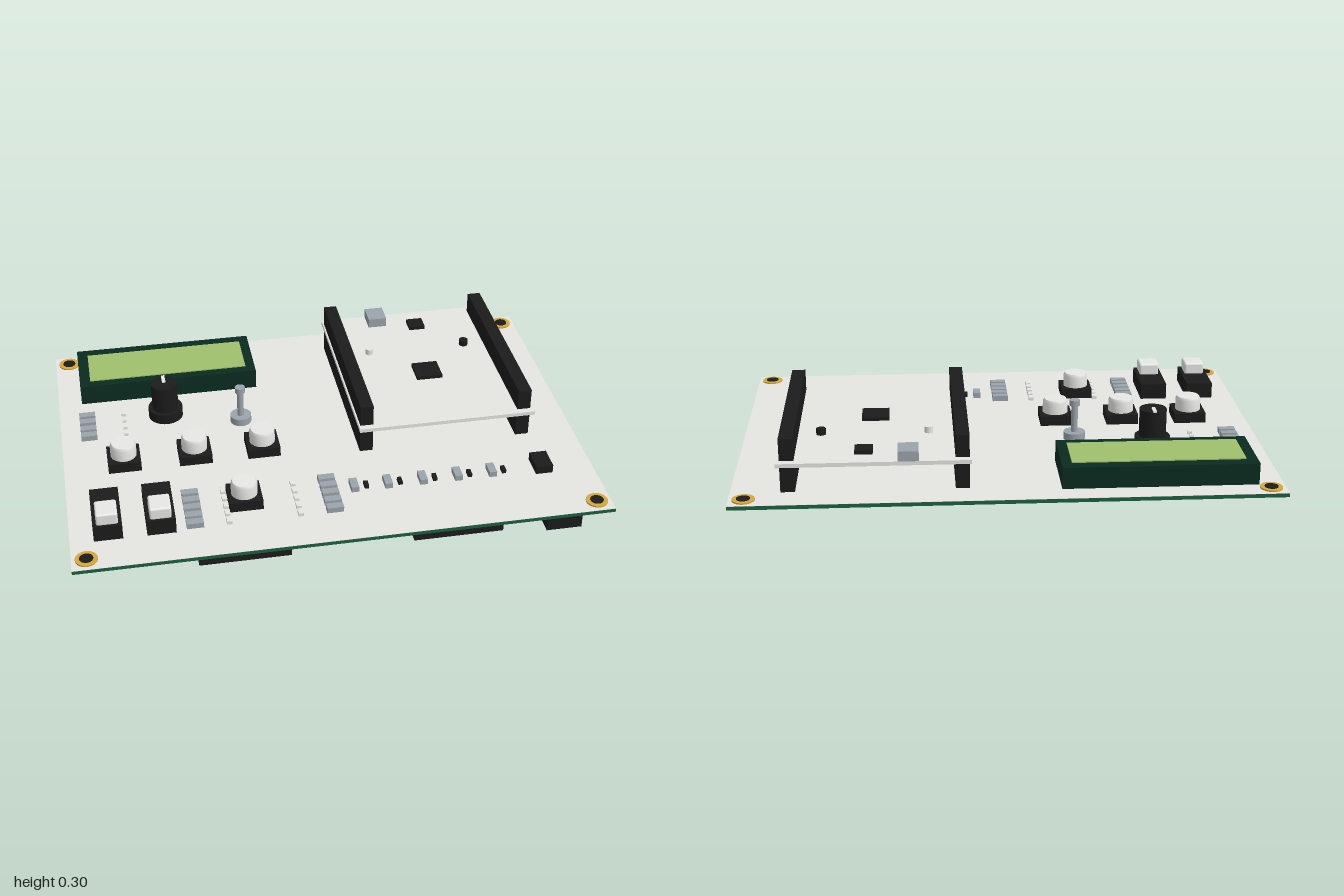
import * as THREE from 'three';
import { RoundedBoxGeometry } from 'three/addons/geometries/RoundedBoxGeometry.js';

const mat = (name, color) => {
  const m = new THREE.MeshStandardMaterial({ color });
  m.name = name;
  return m;
};

export function createModel() {
  const green = mat('boardGreen', 0x1b6140);
  const darkGreen = mat('displayGreen', 0x0a2b20);
  const silk = mat('boardGrey', 0xe5e5e2);
  const white = mat('capWhite', 0xf4f4f2);
  const black = mat('plasticBlack', 0x1b1b1b);
  const metal = mat('metalGrey', 0x9aa3ab);
  const gold = mat('padGold', 0xd6a83a);
  const screen = mat('screenLime', 0x9fc06c);

  const model = new THREE.Group();
  model.name = 'controlBoard';
  // All mounted parts share one origin, slightly off the board's centre
  const components = new THREE.Group();
  components.name = 'components';
  components.position.set(0.004, 0, 0.004);
  model.add(components);
  const TOP = 0.0985;

  const add = (name, geometry, material, x, y, z, parent = components) => {
    const mesh = new THREE.Mesh(geometry, material);
    mesh.name = name;
    mesh.position.set(x, y, z);
    parent.add(mesh);
    return mesh;
  };
  // Box given by its x, y and z ranges
  const box = (name, m, x0, x1, y0, y1, z0, z1, parent) =>
    add(name, new THREE.BoxGeometry(x1 - x0, y1 - y0, z1 - z0), m,
      (x0 + x1) / 2, (y0 + y1) / 2, (z0 + z1) / 2, parent);
  // Box given by centre and size, standing on y0
  const block = (name, m, x, z, w, d, y0, h, parent) =>
    add(name, new THREE.BoxGeometry(w, h, d), m, x, y0 + h / 2, z, parent);
  const rod = (name, m, x, z, r, y0, y1, parent) =>
    add(name, new THREE.CylinderGeometry(r, r, y1 - y0, 32), m, x, (y0 + y1) / 2, z, parent);
  const group = (name) => {
    const g = new THREE.Group();
    g.name = name;
    components.add(g);
    return g;
  };

  // Main board with a thin pale top face
  box('mainBoard', green, -1, 1, 0.083, 0.0975, -0.702, 0.702, model);
  box('boardTopFace', silk, -1, 1, 0.0975, TOP, -0.702, 0.702, model);

  // Corner mounting pads
  for (const x of [-0.945, 0.945]) {
    for (const z of [-0.648, 0.645]) {
      rod('mountingPad', gold, x, z, 0.041, 0.097, 0.104, model);
      rod('mountingHole', black, x, z, 0.025, 0.098, 0.106, model);
    }
  }

  // Connectors under the front edge
  for (const [x0, x1, z1] of [[-0.55, -0.21, 0.63], [0.25, 0.59, 0.63], [0.75, 0.885, 0.66]])
    box('edgeConnector', black, x0, x1, 0, 0.084, 0.574, z1);

  // Display
  const display = group('display');
  box('displayFrame', darkGreen, -0.912, -0.195, TOP, 0.18, -0.62, -0.345, display);
  box('displayScreen', screen, -0.87, -0.233, 0.178, 0.184, -0.575, -0.382, display);

  // Raised daughter board on two long headers
  const daughter = group('daughterBoard');
  box('daughterPlate', silk, 0.13, 0.828, 0.204, 0.219, -0.62, 0.201, daughter);
  for (const [x0, x1] of [[0.136, 0.187], [0.763, 0.815]])
    box('header', black, x0, x1, TOP, 0.303, -0.59, 0.175, daughter);
  box('dataSocket', metal, 0.318, 0.393, 0.219, 0.257, -0.62, -0.53, daughter);
  block('smallChip', black, 0.516, -0.511, 0.066, 0.066, 0.219, 0.014, daughter);
  block('mainChip', black, 0.478, -0.15, 0.104, 0.104, 0.219, 0.014, daughter);
  rod('lamp', silk, 0.278, -0.33, 0.016, 0.219, 0.243, daughter);
  rod('capacitor', black, 0.678, -0.33, 0.018, 0.219, 0.242, daughter);

  // Rotary knob with pointer
  const knob = group('rotaryKnob');
  rod('knobBase', black, -0.583, -0.21, 0.068, TOP, 0.14, knob);
  rod('knobGrip', black, -0.583, -0.21, 0.052, 0.14, 0.25, knob);
  block('knobPointer', white, -0.583, -0.237, 0.014, 0.048, 0.249, 0.006, knob);

  // Small lever on a round foot
  const lever = group('lever');
  rod('leverFoot', metal, -0.291, -0.117, 0.042, TOP, 0.128, lever);
  rod('leverStem', metal, -0.291, -0.117, 0.013, 0.128, 0.24, lever);
  rod('leverTip', metal, -0.291, -0.117, 0.02, 0.235, 0.258, lever);

  // Push buttons with bevelled round caps
  const capProfile = [[0, 0], [0.05, 0], [0.05, 0], [0.05, 0.044],
    [0.044, 0.056], [0.044, 0.056], [0, 0.056]].map(([r, y]) => new THREE.Vector2(r, y));
  const capGeometry = new THREE.LatheGeometry(capProfile, 24);
  for (const [x, z] of [[-0.773, 0.086], [-0.5, 0.086], [-0.235, 0.086], [-0.35, 0.404]]) {
    const button = group('pushButton');
    block('buttonBase', black, x, z, 0.126, 0.126, TOP, 0.039, button);
    add('buttonCap', capGeometry, white, x, 0.138, z, button);
  }

  // Slide switches
  for (const x of [-0.864, -0.671]) {
    const slider = group('slideSwitch');
    block('switchBody', black, x, 0.432, 0.106, 0.228, TOP, 0.063, slider);
    add('switchCap', new RoundedBoxGeometry(0.08, 0.05, 0.09, 2, 0.008), white, x, 0.182, 0.492, slider);
  }

  // Resistor columns beside columns of tiny lamps
  const rowsBack = [-0.235, -0.19, -0.142, -0.098];
  const rowsFront = [0.34, 0.385, 0.43, 0.476, 0.52];
  for (const z of rowsBack) {
    block('resistor', metal, -0.896, z, 0.063, 0.031, TOP, 0.022);
    block('tinyLamp', silk, -0.751, z, 0.016, 0.016, TOP, 0.012);
  }
  for (const z of rowsFront) {
    for (const x of [-0.548, -0.029]) block('resistor', metal, x, z, 0.063, 0.031, TOP, 0.022);
    for (const x of [-0.423, -0.158]) block('tinyLamp', silk, x, z, 0.019, 0.031, TOP, 0.014);
  }

  // Front row of resistor and diode pairs, ending in a chip
  for (const x of [0.067, 0.197, 0.332, 0.468, 0.602]) {
    block('rowResistor', metal, x, 0.398, 0.029, 0.06, TOP, 0.022);
    block('rowDiode', black, x + 0.047, 0.398, 0.016, 0.032, TOP, 0.014);
  }
  block('rowChip', black, 0.8, 0.393, 0.066, 0.096, TOP, 0.033);

  return model;
}
